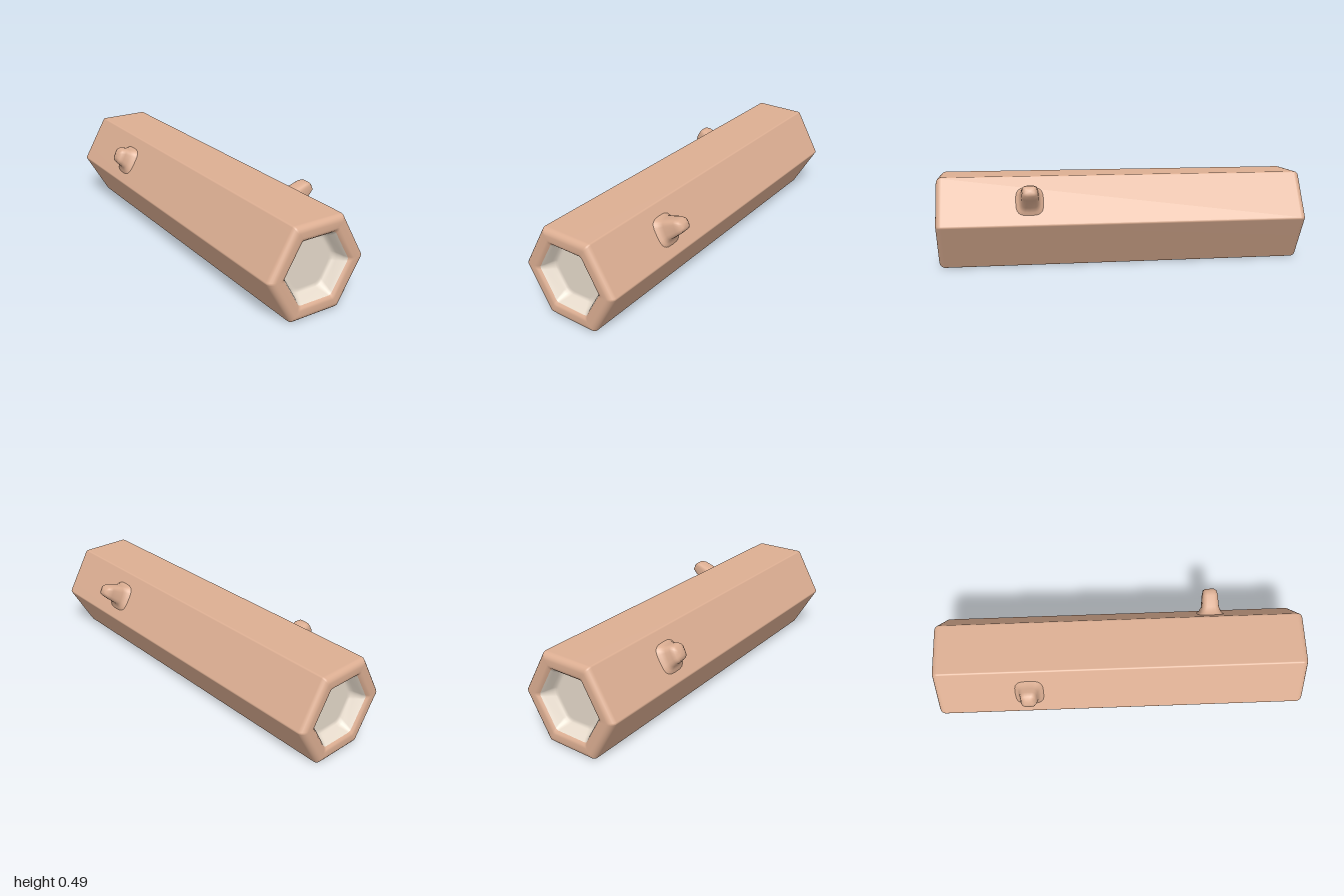
import * as THREE from 'three';

const wood = new THREE.MeshStandardMaterial({ color: 0xdcae92 });
const core = new THREE.MeshStandardMaterial({ color: 0xe6dacb });

// Smooth skin through closed rings of equal point count, with optional end cap
function loft(rings, capEnd) {
  const n = rings[0].length, pos = [], idx = [];
  rings.forEach(r => r.forEach(p => pos.push(p.x, p.y, p.z)));
  for (let i = 0; i < rings.length - 1; i++) {
    for (let j = 0; j < n; j++) {
      const a = i * n + j, b = i * n + (j + 1) % n;
      idx.push(a, b, b + n, a, b + n, a + n);
    }
  }
  if (capEnd) {
    const last = rings[rings.length - 1], c = new THREE.Vector3();
    last.forEach(p => c.addScaledVector(p, 1 / n));
    pos.push(c.x, c.y, c.z);
    const k = rings.length * n, s = k - n;
    for (let j = 0; j < n; j++) idx.push(s + j, s + (j + 1) % n, k);
  }
  const g = new THREE.BufferGeometry();
  g.setAttribute('position', new THREE.Float32BufferAttribute(pos, 3));
  g.setIndex(idx);
  g.computeVertexNormals();
  return g;
}

// Hexagon with rounded corners: apothem a, corner radius r
function hexRing([a, z, r]) {
  const pts = [], d = (a - r) / Math.cos(Math.PI / 6);
  for (let c = 0; c < 6; c++) {
    const t = c * Math.PI / 3;
    for (let k = 0; k <= 4; k++) {
      const s = t + (k / 4 - 0.5) * Math.PI / 3;
      pts.push(new THREE.Vector3(d * Math.cos(t) + r * Math.cos(s), d * Math.sin(t) + r * Math.sin(s), z));
    }
  }
  return pts;
}

// Branch sections: [upper x, upper y, lower x, lower y, half width in z]
function branch(name, sections, z, side) {
  const sq = v => Math.sign(v) * Math.pow(Math.abs(v), 0.6);
  const rings = sections.map(([ux, uy, lx, ly, w]) => {
    const ring = [];
    for (let k = 0; k < 24; k++) {
      const t = k / 24 * Math.PI * 2, u = sq(Math.cos(t)) / 2;
      ring.push(new THREE.Vector3((ux + lx) / 2 + u * (ux - lx), (uy + ly) / 2 + u * (uy - ly),
        z + side * w * sq(Math.sin(t))));
    }
    return ring;
  });
  const mesh = new THREE.Mesh(loft(rings, true), wood);
  mesh.name = name;
  return mesh;
}

export function createModel() {
  const model = new THREE.Group();
  model.name = 'hexagonalLog';

  const log = new THREE.Group();
  log.name = 'log';
  log.position.set(-0.02, 0.244, 0);
  model.add(log);

  // Bark with rounded end edges and a rim around each recess
  const end = [];
  for (let k = 0; k <= 5; k++) {
    const t = k / 5 * Math.PI / 2;
    end.push([0.212 + 0.032 * Math.cos(t), 0.968 + 0.032 * Math.sin(t), 0.012]);
  }
  end.push([0.188, 1, 0.015], [0.176, 0.997, 0.018], [0.166, 0.987, 0.022]);
  const back = end.map(([a, z, r]) => [a, -z, r]).reverse();
  const bark = new THREE.Mesh(loft([...back, ...end].map(hexRing)), wood);
  bark.name = 'bark';
  log.add(bark);

  // Pale hollow in each end
  const hollow = loft([
    [0.166, 0.987, 0.022], [0.157, 0.972, 0.03], [0.146, 0.94, 0.045],
    [0.138, 0.925, 0.05], [0.128, 0.92, 0.05], [0.118, 0.92, 0.05],
  ].map(hexRing), true);
  ['frontHollow', 'backHollow'].forEach((name, i) => {
    const m = new THREE.Mesh(hollow, core);
    m.name = name;
    m.rotation.y = i * Math.PI;
    log.add(m);
  });

  // Cut branch stubs flaring out of the upper side faces
  model.add(branch('leftBranch', [
    [0.14, 0.435, 0.23, 0.28, 0.085], [0.168, 0.428, 0.236, 0.31, 0.06],
    [0.2, 0.437, 0.243, 0.335, 0.048], [0.26, 0.456, 0.295, 0.382, 0.043],
    [0.288, 0.457, 0.317, 0.405, 0.037], [0.305, 0.446, 0.317, 0.42, 0.022],
  ], 0.513, 1));
  model.add(branch('rightBranch', [
    [-0.183, 0.432, -0.272, 0.275, 0.088], [-0.21, 0.429, -0.277, 0.31, 0.062],
    [-0.235, 0.432, -0.282, 0.33, 0.05], [-0.257, 0.441, -0.303, 0.353, 0.045],
    [-0.282, 0.441, -0.317, 0.37, 0.038], [-0.298, 0.424, -0.315, 0.39, 0.02],
  ], -0.495, -1));
  return model;
}
